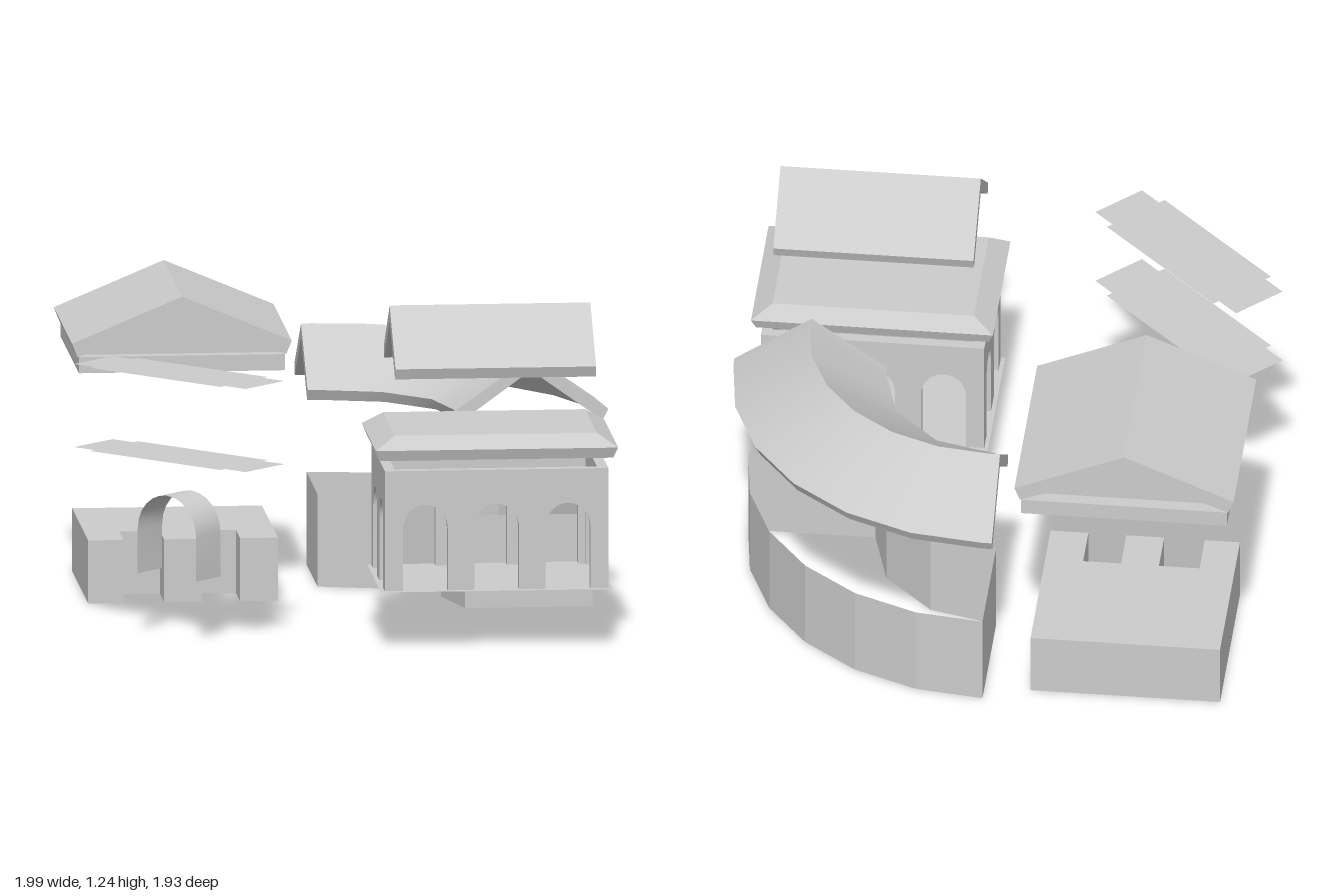
import * as THREE from 'three';
import { toCreasedNormals } from 'three/addons/utils/BufferGeometryUtils.js';

const material = new THREE.MeshStandardMaterial({ color: 0xcccccc, side: THREE.DoubleSide });

function add(parent, name, geometry, x = 0, y = 0, z = 0, turn = 0) {
  const mesh = new THREE.Mesh(geometry, material);
  mesh.name = name;
  mesh.position.set(x, y, z);
  mesh.rotation.y = turn;
  parent.add(mesh);
  return mesh;
}

const polygon = (points) => new THREE.Shape(points.map(([x, y]) => new THREE.Vector2(x, y)));
const extrude = (shape, depth) =>
  new THREE.ExtrudeGeometry(shape, { depth, bevelEnabled: false, curveSegments: 10 });

// Wall standing on y = 0 with arched doorways at the given centres
function arcadeWall(width, height, thickness, centres) {
  const half = 0.0825, spring = 0.23;
  const shape = new THREE.Shape();
  shape.moveTo(-width / 2, 0);
  for (const c of centres) {
    shape.lineTo(c - half, 0);
    shape.lineTo(c - half, spring);
    shape.absellipse(c, spring, half, 0.09, Math.PI, 0, true);
    shape.lineTo(c + half, 0);
  }
  shape.lineTo(width / 2, 0);
  shape.lineTo(width / 2, height);
  shape.lineTo(-width / 2, height);
  const geo = extrude(shape, thickness);
  geo.translate(0, 0, -thickness / 2);
  return toCreasedNormals(geo, 0.5);
}

// Gabled roof along z: thick slopes with a recessed gable, heights above the eave foot
function gableRoof(name, half, foot, eave, ridge, innerRidge, length, inset) {
  const roof = new THREE.Group();
  roof.name = name;
  const slopes = extrude(polygon([
    [-foot, 0], [0, innerRidge], [foot, 0], [half, eave], [0, ridge], [-half, eave],
  ]), length);
  slopes.translate(0, 0, -length / 2);
  add(roof, 'roofSlopes', slopes);
  const gable = extrude(polygon([[-foot, 0], [foot, 0], [0, innerRidge]]), length - 2 * inset);
  gable.translate(0, 0, inset - length / 2);
  add(roof, 'recessedGable', gable);
  return roof;
}

// Quarter-ring sweep of a counter-clockwise [radius, y] profile.
// The outer side has six facets, the inner side three.
function quarterRing(profile, extension, crease, skipEdge) {
  const n = profile.length, steps = 6, rows = [];
  const row = (i, shift) => profile.map(([r, y]) => {
    const a = (i / steps) * Math.PI / 2;
    const radius = r < 0.6 && i % 2 ? r * Math.cos(Math.PI / 12) : r;
    return [
      -0.03 + radius * Math.sin(a) + shift * Math.cos(a), y,
      0.06 - radius * Math.cos(a) + shift * Math.sin(a),
    ];
  });
  if (extension) rows.push(row(0, -extension));
  for (let i = 0; i <= steps; i++) rows.push(row(i, 0));
  if (extension) rows.push(row(steps, extension));

  const index = [];
  for (let i = 0; i < rows.length - 1; i++) {
    for (let j = 0; j < n; j++) {
      if (skipEdge(j)) continue;
      const k = (j + 1) % n;
      const a = i * n + j, b = i * n + k, c = a + n, d = b + n;
      index.push(a, b, c, b, d, c);
    }
  }
  const outline = profile.map(([x, y]) => new THREE.Vector2(x, y));
  const last = (rows.length - 1) * n;
  for (const [a, b, c] of THREE.ShapeUtils.triangulateShape(outline, [])) {
    index.push(a, c, b, last + a, last + b, last + c);
  }
  const geo = new THREE.BufferGeometry();
  geo.setAttribute('position', new THREE.Float32BufferAttribute(rows.flat(2), 3));
  geo.setIndex(index);
  return toCreasedNormals(geo, crease);
}

// Hipped cornice: rectangular cross-sections [halfX, halfZ, y] stacked upwards
function hippedCornice(levels) {
  const p = [], index = [];
  for (const [x, z, y] of levels) p.push(-x, y, z, x, y, z, x, y, -z, -x, y, -z);
  for (let i = 0; i < levels.length - 1; i++) {
    for (let j = 0; j < 4; j++) {
      const a = i * 4 + j, b = i * 4 + (j + 1) % 4;
      index.push(a, b, a + 4, b, b + 4, a + 4);
    }
  }
  const t = (levels.length - 1) * 4;
  index.push(0, 2, 1, 0, 3, 2, t, t + 1, t + 2, t, t + 2, t + 3);
  const geo = new THREE.BufferGeometry();
  geo.setAttribute('position', new THREE.Float32BufferAttribute(p, 3));
  geo.setIndex(index);
  return toCreasedNormals(geo, 0.1);
}

// Thin ribbon following an arch, span along x and depth along z
function archRibbon(half, height, depth) {
  const spring = height - half, line = [[-half, 0]], n = 12;
  for (let i = 0; i <= n; i++) {
    const a = Math.PI * (1 - i / n);
    line.push([half * Math.cos(a), spring + half * Math.sin(a)]);
  }
  line.push([half, 0]);
  const p = [], index = [];
  line.forEach(([x, y], i) => {
    p.push(x, y, depth / 2, x, y, -depth / 2);
    if (i) index.push(2 * i - 2, 2 * i, 2 * i - 1, 2 * i, 2 * i + 1, 2 * i - 1);
  });
  const geo = new THREE.BufferGeometry();
  geo.setAttribute('position', new THREE.Float32BufferAttribute(p, 3));
  geo.setIndex(index);
  return toCreasedNormals(geo, 0.5);
}

export function createModel() {
  const model = new THREE.Group();
  model.name = 'explodedVilla';

  // Side block, open below, with two notches in its front
  const front = 0.155, notch = 0.335, back = 0.84;
  const plan = polygon([
    [-0.9, back], [-0.9, front], [-0.77, front], [-0.77, notch], [-0.62, notch], [-0.62, front],
    [-0.48, front], [-0.48, notch], [-0.34, notch], [-0.34, front], [-0.2, front], [-0.2, back],
  ]);
  const block = extrude(plan, 0.235);
  block.rotateX(-Math.PI / 2);
  // Drop the bottom face, keeping every triangle that rises above the ground
  const source = block.getAttribute('position'), kept = [];
  for (let i = 0; i < source.count; i += 3) {
    if (Math.max(source.getY(i), source.getY(i + 1), source.getY(i + 2)) < 0.01) continue;
    for (let k = i; k < i + 3; k++) kept.push(source.getX(k), source.getY(k), source.getZ(k));
  }
  const shell = new THREE.BufferGeometry();
  shell.setAttribute('position', new THREE.Float32BufferAttribute(kept, 3));
  shell.computeVertexNormals();
  add(model, 'sideBlock', shell);

  // Side block roof with a flat base course
  const sideRoof = gableRoof('sideRoof', 0.405, 0.385, 0.05, 0.22, 0.15, 0.78, 0.05);
  add(sideRoof, 'roofBase', new THREE.BoxGeometry(0.76, 0.06, 0.78), 0, -0.03, 0);
  sideRoof.position.set(-0.555, 0.92, -0.54);
  model.add(sideRoof);

  // Curved wing: hollow walls and a hollow ridged roof
  add(model, 'curvedWall', quarterRing(
    [[0.5, 0], [0.97, 0], [0.97, 0.345], [0.5, 0.345]], 0, 0.1, (j) => j % 2 === 0));
  add(model, 'curvedRoof', quarterRing(
    [[0.48, 0.7], [0.74, 0.89], [1.005, 0.7], [1.025, 0.74], [0.74, 0.94], [0.46, 0.74]],
    0.04, 0.5, () => false));

  // Loggia: four arcaded walls on a thin floor
  const loggia = new THREE.Group();
  loggia.name = 'loggia';
  loggia.position.set(0.513, 0.22, 0.642);
  const t = 0.04, w = 0.825, d = 0.565;
  for (const s of [-1, 1]) {
    add(loggia, 'longArcade', arcadeWall(w, 0.447, t, [-0.263, 0, 0.263]), 0, 0, s * (d - t) / 2);
    add(loggia, 'shortArcade', arcadeWall(d - 2 * t, 0.447, t, [-0.13, 0.13]),
      s * (w - t) / 2, 0, 0, Math.PI / 2);
  }
  const floor = new THREE.PlaneGeometry(w + 0.03, d + 0.03);
  floor.rotateX(-Math.PI / 2);
  add(loggia, 'floor', floor, 0, -0.002, 0);
  model.add(loggia);

  // Loggia cornice and gabled roof
  add(model, 'loggiaCornice', hippedCornice([
    [0.43, 0.285, 0.705], [0.447, 0.3, 0.745], [0.372, 0.25, 0.793],
  ]), 0.513, 0, 0.637);
  const loggiaRoof = gableRoof('loggiaRoof', 0.25, 0.235, 0.04, 0.235, 0.175, 0.74, 0.03);
  loggiaRoof.rotation.y = Math.PI / 2;
  loggiaRoof.position.set(0.513, 1.0, 0.637);
  model.add(loggiaRoof);

  // Diagonal passage: arch lining below two notched sheets
  const passage = new THREE.Group();
  passage.name = 'passage';
  passage.position.set(-0.63, 0, 0.6);
  passage.rotation.y = -Math.PI / 4;
  add(passage, 'archLining', archRibbon(0.14, 0.305, 0.14), 0, 0.235, 0);
  const sheet = new THREE.ShapeGeometry(polygon([
    [-0.412, -0.11], [-0.312, -0.11], [-0.312, -0.136], [0.312, -0.136], [0.312, -0.11], [0.412, -0.11],
    [0.412, 0.11], [0.312, 0.11], [0.312, 0.136], [-0.312, 0.136], [-0.312, 0.11], [-0.412, 0.11],
  ]));
  sheet.rotateX(-Math.PI / 2);
  for (const y of [0.68, 0.99]) add(passage, 'notchedSheet', sheet, 0, y, 0);
  model.add(passage);

  return model;
}
